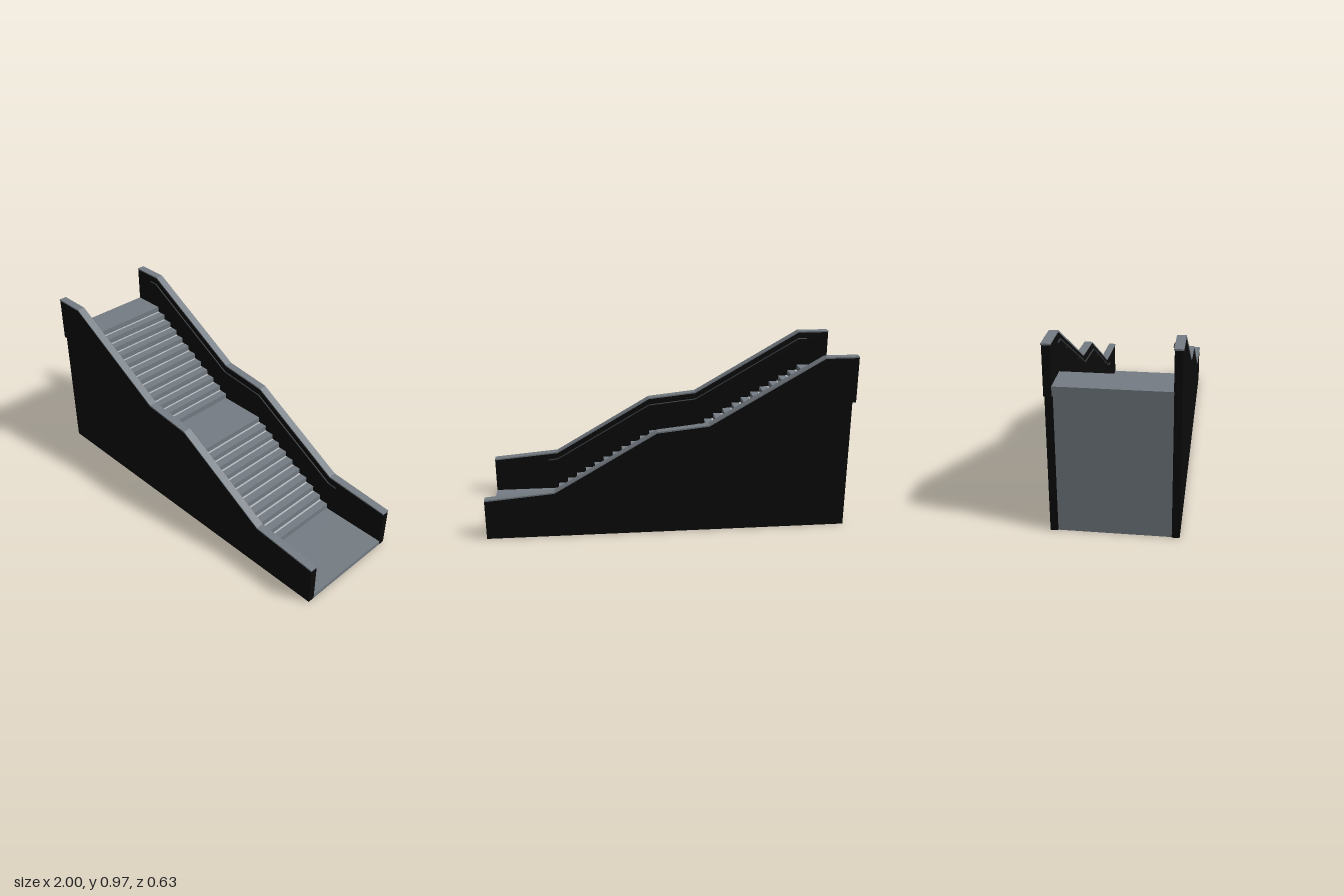
import * as THREE from 'three';

const RISE = 0.0324, RUN = 0.0555, BASE = 0.025, TOP = 0.77;
const LOWER = { x: 0.625, y: BASE, risers: 11 };
const UPPER = { x: -0.21, y: BASE + 11 * RISE, risers: 12 };
// top line of the parapets, from the upper end to the lower end
const CREST = [[-1, 0.972], [-0.82, 0.972], [-0.21, 0.616], [0.07, 0.586], [0.625, 0.26], [1, 0.227]];

function createMaterials() {
  const make = (name, color, side = THREE.FrontSide) => {
    const m = new THREE.MeshStandardMaterial({ color, side });
    m.name = name;
    return m;
  };
  return {
    black: make('black cladding', 0x0b0b0b),
    grey: make('grey stone', 0x757d84),
    light: make('light strip', 0xb8bcc0),
    rail: make('dark rail metal', 0x3c4144),
  };
}

// extrudes an x-y outline between two z values
function slab(points, z0, z1, material, name) {
  const shape = new THREE.Shape(points.map(([x, y]) => new THREE.Vector2(x, y)));
  const geo = new THREE.ExtrudeGeometry(shape, { depth: z1 - z0, bevelEnabled: false });
  geo.translate(0, 0, z0);
  const mesh = new THREE.Mesh(geo, material);
  mesh.name = name;
  return mesh;
}

// straight round bar between two points
function bar(a, b, radius, material, name) {
  const dir = b.clone().sub(a);
  const mesh = new THREE.Mesh(new THREE.CylinderGeometry(radius, radius, dir.length(), 8), material);
  mesh.position.copy(a).add(b).multiplyScalar(0.5);
  mesh.quaternion.setFromUnitVectors(new THREE.Vector3(0, 1, 0), dir.normalize());
  mesh.name = name;
  return mesh;
}

// height of the parapet top at x
function crestAt(x) {
  for (let i = 1; i < CREST.length; i++) {
    const [x0, y0] = CREST[i - 1], [x1, y1] = CREST[i];
    if (x <= x1) return y0 + (y1 - y0) * (x - x0) / (x1 - x0);
  }
  return CREST[CREST.length - 1][1];
}

export function createModel() {
  const model = new THREE.Group();
  model.name = 'staircase';
  const mat = createMaterials();

  // solid stair body with two flights, a landing and an overhanging top slab
  const outline = [[-0.975, 0], [1, 0], [1, BASE]];
  for (const flight of [LOWER, UPPER]) {
    for (let k = 0; k < flight.risers; k++) {
      const x = flight.x - k * RUN, y = flight.y + k * RISE;
      outline.push([x, y], [x, y + RISE]);
    }
  }
  outline.push([-1, TOP], [-1, 0.72], [-0.975, 0.72]);
  model.add(slab(outline, -0.277, 0.277, mat.grey, 'stairBody'));

  // light strip at the back of every tread
  const strips = new THREE.Group();
  strips.name = 'treadStrips';
  for (const flight of [LOWER, UPPER]) {
    for (let k = 1; k < flight.risers; k++) {
      const strip = new THREE.Mesh(new THREE.BoxGeometry(0.01, 0.002, 0.55), mat.light);
      strip.position.set(flight.x - k * RUN + 0.006, flight.y + k * RISE + 0.0005, 0);
      strip.name = 'treadStrip';
      strips.add(strip);
    }
  }
  model.add(strips);

  const wall = [[-0.98, 0], [1, 0], ...CREST.map(([x, y]) => [x, y - 0.006]).reverse(), [-1, 0.72], [-0.98, 0.72]];
  const coping = [...CREST.map(([x, y]) => [x, y - 0.006]), ...CREST.map(([x, y]) => [x, y + 0.002]).reverse()];
  const railX = [-0.87, -0.82, -0.21, 0.07, 0.625, 0.68];
  const bracketX = [-0.82, -0.65, -0.35, 0, 0.23, 0.5, 0.66];

  for (const s of [1, -1]) {
    const side = new THREE.Group();
    side.name = s > 0 ? 'frontParapet' : 'backParapet';
    const span = (a, b) => (s > 0 ? [a, b] : [-b, -a]);

    // side wall and its coping
    side.add(slab(wall, ...span(0.276, 0.314), mat.black, 'sideWall'));
    side.add(slab(coping, ...span(0.273, 0.317), mat.grey, 'coping'));

    // handrail following the parapet
    const pts = railX.map(x => new THREE.Vector3(x, crestAt(x) - 0.04, s * 0.265));
    for (let i = 1; i < pts.length; i++) {
      side.add(bar(pts[i - 1], pts[i], 0.0035, mat.rail, 'handrail'));
    }
    // brackets tying the handrail to the wall
    for (const x of bracketX) {
      const y = crestAt(x) - 0.04;
      side.add(bar(new THREE.Vector3(x, y, s * 0.265), new THREE.Vector3(x, y - 0.012, s * 0.278), 0.002, mat.rail, 'railBracket'));
    }
    model.add(side);
  }
  return model;
}
